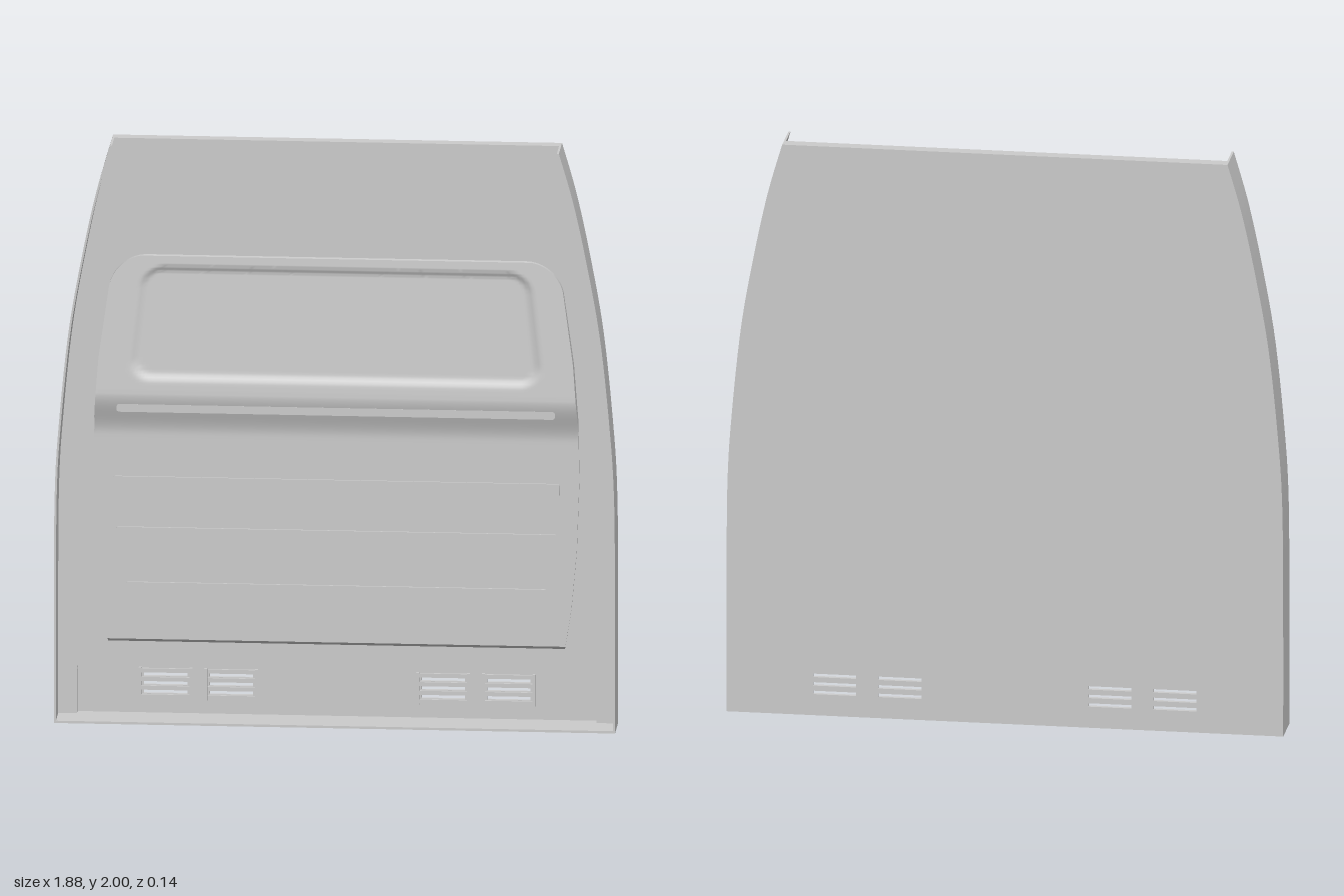
import * as THREE from 'three';
import { toCreasedNormals } from 'three/addons/utils/BufferGeometryUtils.js';

const BACK = -0.072, SHEET = -0.06, FACE = -0.03, FRONT = 0.072;

// Piecewise curve through [y, value] pairs, eased between points when smooth
function ramp(points, y, smooth = false) {
  if (y <= points[0][0]) return points[0][1];
  for (let i = 1; i < points.length; i++) {
    const [y0, a] = points[i - 1], [y1, b] = points[i];
    if (y <= y1) {
      let t = (y - y0) / (y1 - y0);
      if (smooth) t = t * t * (3 - 2 * t);
      return a + (b - a) * t;
    }
  }
  return points[points.length - 1][1];
}

// Right-hand edge of the whole bulkhead, bottom to top
const edge = new THREE.SplineCurve([[0.94, 0], [0.94, 0.4], [0.937, 0.8], [0.922, 1.05], [0.89, 1.36],
  [0.845, 1.62], [0.8, 1.83], [0.752, 2]].map(p => new THREE.Vector2(...p))).getPoints(36);
const mirrored = pts => pts.map(p => new THREE.Vector2(-p.x, p.y)).reverse();

// Half width of the pressed panel, with round upper corners
const sideCurve = [[0.26, 0.765], [0.4, 0.787], [0.6, 0.805], [0.85, 0.814], [1.05, 0.81], [1.25, 0.795], [1.5, 0.76], [1.6, 0.745]];
function panelHalfWidth(y) {
  const r = 0.11, d = Math.max(0, y - (1.6 - r));
  return ramp(sideCurve, y) - (r - Math.sqrt(Math.max(0, r * r - d * d)));
}

// Depth of the pressed panel: leaning top, ledge, flat lower half, soft window recess
function panelDepth(x, y) {
  let z = y > 1.13
    ? ramp([[1.13, 0.021], [1.6, -0.015]], y)
    : ramp([[0.26, -0.02], [0.98, -0.018], [1.13, 0.021]], y, y > 0.98);
  const r = 0.08, hw = ramp([[1.17, 0.7], [1.57, 0.655]], y);
  const qx = Math.abs(x) - hw + r, qy = Math.abs(y - 1.37) - 0.2 + r;
  const dist = Math.hypot(Math.max(qx, 0), Math.max(qy, 0)) + Math.min(Math.max(qx, qy), 0) - r;
  return z - 0.012 * THREE.MathUtils.smoothstep(-dist, 0, 0.03);
}

function panelGeometry() {
  const nx = 140, ny = 150, pos = [], idx = [];
  for (let j = 0; j <= ny; j++) {
    const t = j / ny;
    const y = 0.26 + 1.34 * (1 - Math.pow(1 - t, 1.35));
    const w = panelHalfWidth(y);
    for (let i = 0; i <= nx; i++) {
      const border = i === 0 || i === nx || j === 0 || j === ny;
      // Border points drop back to the plate and form the skirt
      const u = THREE.MathUtils.clamp((i - 1) / (nx - 2), 0, 1) * 2 - 1;
      const x = u * w;
      pos.push(x, y, border ? FACE - 0.002 : panelDepth(x, y));
    }
  }
  for (let j = 0; j < ny; j++) {
    for (let i = 0; i < nx; i++) {
      const a = j * (nx + 1) + i, b = a + nx + 1;
      idx.push(a, a + 1, b + 1, a, b + 1, b);
    }
  }
  const g = new THREE.BufferGeometry();
  g.setAttribute('position', new THREE.Float32BufferAttribute(pos, 3));
  g.setIndex(idx);
  return toCreasedNormals(g, 0.6);
}

function roundedShape(hwBottom, hwTop, y0, y1, r) {
  const c = [[-hwBottom, y0], [hwBottom, y0], [hwTop, y1], [-hwTop, y1]].map(p => new THREE.Vector2(...p));
  const s = new THREE.Shape();
  c.forEach((p, i) => {
    const a = c[(i + 3) % 4], b = c[(i + 1) % 4];
    const p0 = p.clone().add(a.clone().sub(p).setLength(r));
    const p1 = p.clone().add(b.clone().sub(p).setLength(r));
    if (i === 0) s.moveTo(p0.x, p0.y); else s.lineTo(p0.x, p0.y);
    s.quadraticCurveTo(p.x, p.y, p1.x, p1.y);
  });
  s.closePath();
  return s;
}

export function createModel() {
  const group = new THREE.Group();
  const material = new THREE.MeshStandardMaterial({ color: 0xcccccc, side: THREE.DoubleSide });
  const add = (name, geometry) => {
    const m = new THREE.Mesh(geometry, material);
    m.name = name;
    group.add(m);
    return m;
  };
  const extrude = (name, shape, z0, z1) => {
    const g = new THREE.ExtrudeGeometry(shape, { depth: z1 - z0, bevelEnabled: false, curveSegments: 8 });
    g.translate(0, 0, z0);
    return add(name, toCreasedNormals(g, 0.5));
  };
  const box = (name, x0, x1, y0, y1, z0, z1) => {
    const g = new THREE.BoxGeometry(x1 - x0, y1 - y0, z1 - z0);
    g.translate((x0 + x1) / 2, (y0 + y1) / 2, (z0 + z1) / 2);
    return add(name, g);
  };

  // Back sheet with ventilation slots cut through
  const sheet = new THREE.Shape([...edge, ...mirrored(edge)]);
  const vents = [[-0.66, -0.49], [-0.44, -0.27], [0.27, 0.44], [0.49, 0.66]];
  const slotRows = [0.08, 0.11, 0.14];
  for (const [x0, x1] of vents) {
    for (const y of slotRows) {
      sheet.holes.push(new THREE.Path([[x0 + 0.012, y - 0.006], [x0 + 0.012, y + 0.006],
        [x1 - 0.012, y + 0.006], [x1 - 0.012, y - 0.006]].map(p => new THREE.Vector2(...p))));
    }
  }
  extrude('backSheet', sheet, BACK, SHEET);

  // Main plate, open at the bottom to leave the vent recess
  const plate = new THREE.Shape([...edge, ...mirrored(edge)]);
  plate.lineTo(-0.87, 0);
  plate.lineTo(-0.87, 0.15);
  plate.absarc(-0.77, 0.15, 0.1, Math.PI, Math.PI / 2, true);
  plate.lineTo(0.77, 0.25);
  plate.absarc(0.77, 0.15, 0.1, Math.PI / 2, 0, true);
  plate.lineTo(0.87, 0);
  extrude('mainPlate', plate, SHEET, FACE);

  // Side flanges and bottom flange
  const inner = edge.map(p => new THREE.Vector2(p.x - 0.007, p.y)).reverse();
  const strip = [...edge, ...inner];
  extrude('leftFlange', new THREE.Shape(strip), FACE, FRONT);
  extrude('rightFlange', new THREE.Shape(mirrored(strip)), FACE, FRONT);
  box('bottomFlange', -0.933, 0.933, 0, 0.008, SHEET, FRONT);

  // Pressed panel with window recess and ledge
  add('pressedPanel', panelGeometry());

  // Horizontal stiffening ribs
  const ribs = [
    [0.735, 0.735, 1.065, 1.092, 0.012, 0.015],
    [0.747, 0.747, 0.79, 0.835, 0.008, -0.012],
    [0.738, 0.738, 0.595, 0.66, 0.008, -0.012],
    [0.665, 0.705, 0.378, 0.47, 0.008, -0.012],
  ];
  for (const [b, t, y0, y1, r, z] of ribs) extrude('stiffeningRib', roundedShape(b, t, y0, y1, r), FACE, z);

  // Vent grilles: side posts and slats around each slot
  for (const [x0, x1] of vents) {
    for (const x of [x0, x1]) box('ventPost', x - 0.005, x + 0.005, 0.055, 0.165, SHEET, SHEET + 0.012);
    for (const y of [0.065, 0.095, 0.125, 0.155]) box('ventSlat', x0, x1, y - 0.007, y + 0.007, SHEET, SHEET + 0.008);
  }
  return group;
}
